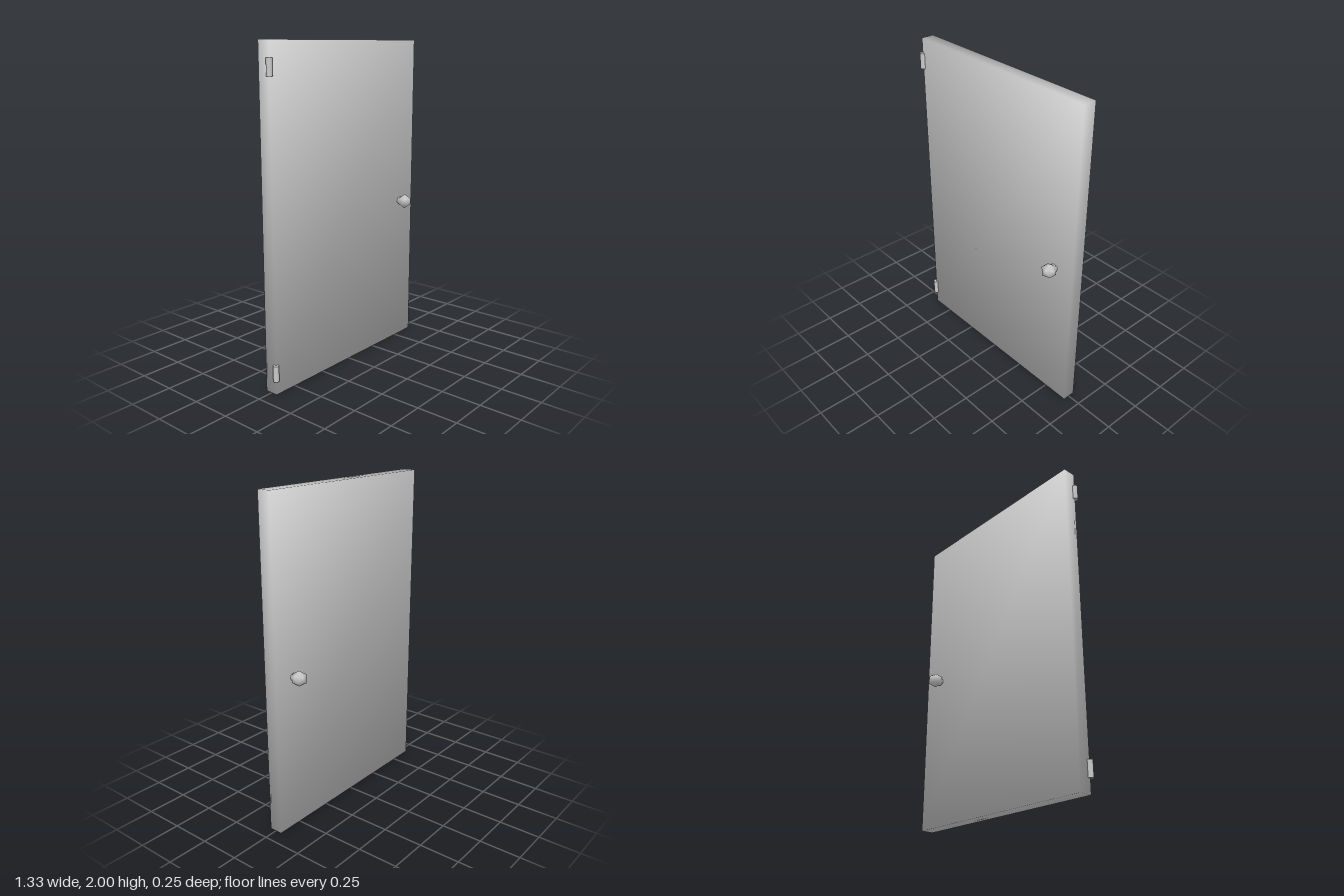
import * as THREE from 'three';

const material = new THREE.MeshStandardMaterial({ color: 0xcccccc });

function addPart(parent, name, geometry, x = 0, y = 0, z = 0) {
  const mesh = new THREE.Mesh(geometry, material);
  mesh.name = name;
  mesh.position.set(x, y, z);
  parent.add(mesh);
  return mesh;
}

// Soft shading: each corner's normal points away from the centre, by sign or by direction
function softenNormals(geometry, useSigns) {
  const p = geometry.attributes.position, n = geometry.attributes.normal;
  const v = new THREE.Vector3();
  for (let i = 0; i < p.count; i++) {
    v.fromBufferAttribute(p, i);
    if (useSigns) v.set(Math.sign(v.x), Math.sign(v.y), Math.sign(v.z));
    v.normalize();
    n.setXYZ(i, v.x, v.y, v.z);
  }
  return geometry;
}

export function createModel() {
  const door = new THREE.Group();
  door.name = 'door';

  // Plain door slab
  const slab = softenNormals(new THREE.BoxGeometry(1.315, 2, 0.082), true);
  addPart(door, 'doorPanel', slab, 0.008, 1, 0);

  // Hinge barrels on the front corner of the right edge
  const barrel = new THREE.CylinderGeometry(0.018, 0.018, 0.096, 12);
  addPart(door, 'lowerHinge', barrel, -0.65, 0.134, 0.041);
  addPart(door, 'upperHinge', barrel, -0.65, 1.86, 0.041);

  // Faceted knob with one corner straight up, and a neck flaring towards it
  const ball = new THREE.IcosahedronGeometry(0.0475, 0);
  ball.rotateZ(-Math.atan(2 / (1 + Math.sqrt(5))));
  softenNormals(ball, false);
  const neck = new THREE.CylinderGeometry(0.036, 0.021, 0.045, 12, 1, true).rotateX(Math.PI / 2);

  for (const side of ['front', 'back']) {
    const knob = new THREE.Group();
    knob.name = side + 'Knob';
    knob.position.set(0.525, 0.953, 0);
    if (side === 'back') knob.rotation.y = Math.PI;
    const ballMesh = addPart(knob, 'knobBall', ball, 0, 0, 0.087);
    if (side === 'back') ballMesh.rotation.y = Math.PI;
    addPart(knob, 'knobNeck', neck, 0, 0, 0.0605);
    door.add(knob);
  }
  return door;
}
